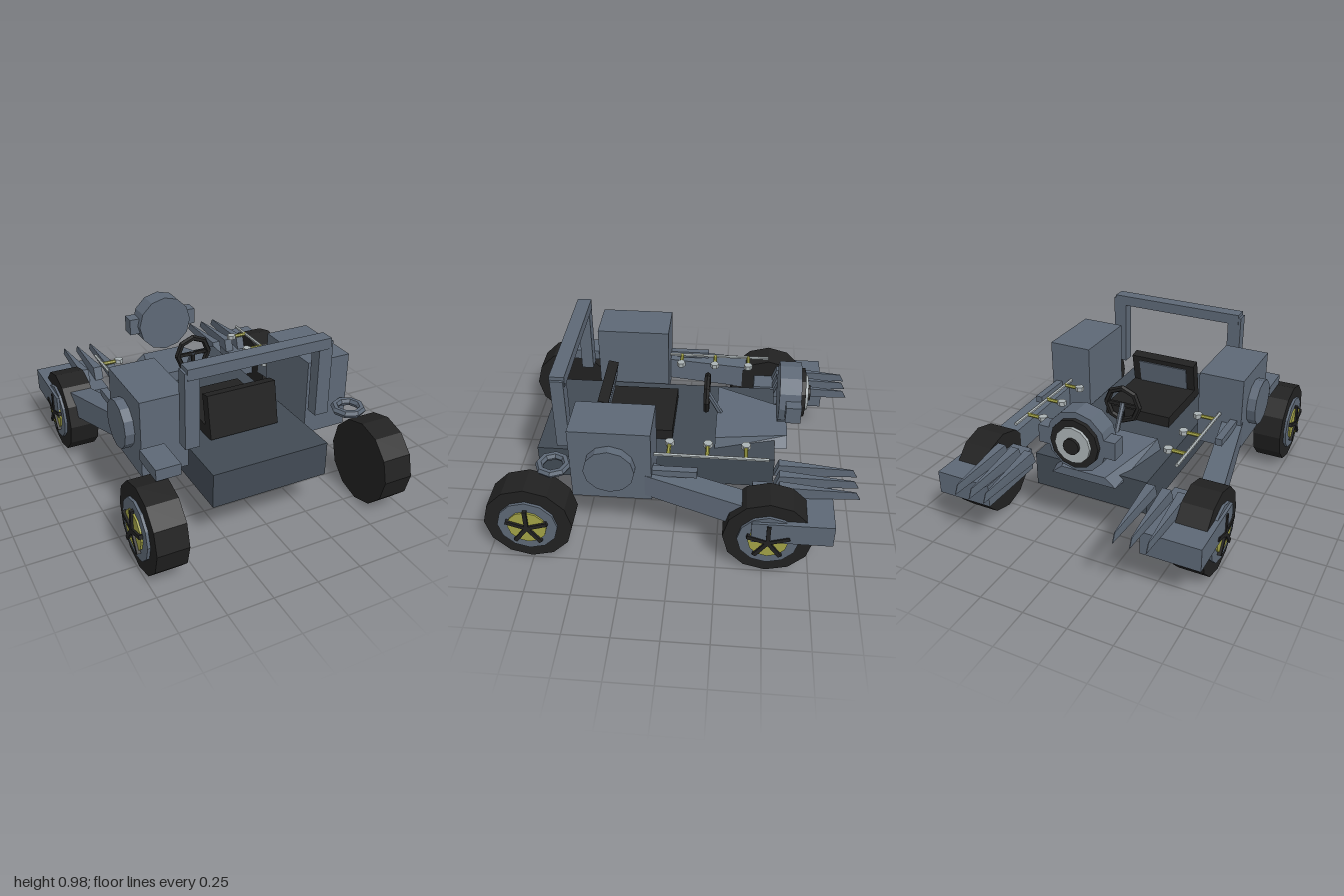
import * as THREE from 'three';

const mat = (name, color) => {
  const m = new THREE.MeshStandardMaterial({ color, flatShading: true });
  m.name = name;
  return m;
};

export function createModel() {
  const steel = mat('blue grey steel', 0x5d6876);
  const dark = mat('dark hull grey', 0x414a54);
  const black = mat('black rubber', 0x212121);
  const yellow = mat('dull yellow', 0xa2a246);
  const silver = mat('light metal', 0xaab2b4);
  const root = new THREE.Group();
  root.name = 'armedBuggy';

  const add = (name, geo, material, parent = root) => {
    const m = new THREE.Mesh(geo, material);
    m.name = name;
    parent.add(m);
    return m;
  };
  // Box given by its limits on each axis
  const box = (name, material, x0, x1, y0, y1, z0, z1, parent = root) => {
    const m = add(name, new THREE.BoxGeometry(Math.abs(x1 - x0), y1 - y0, z1 - z0), material, parent);
    m.position.set((x0 + x1) / 2, (y0 + y1) / 2, (z0 + z1) / 2);
    return m;
  };
  // Cylinder lying along x or z, or standing on y
  const disc = (name, material, axis, r, len, x, y, z, sides = 12, parent = root) => {
    const g = new THREE.CylinderGeometry(r, r, len, sides);
    if (axis === 'x') g.rotateZ(Math.PI / 2);
    if (axis === 'z') g.rotateX(Math.PI / 2);
    const m = add(name, g, material, parent);
    m.position.set(x, y, z);
    return m;
  };
  // Box whose eight corners are moved by a rule taking the signs of x, y, z
  const shaped = (name, material, rule) => {
    const g = new THREE.BoxGeometry(2, 2, 2);
    const p = g.attributes.position;
    for (let i = 0; i < p.count; i++) p.setXYZ(i, ...rule(p.getX(i), p.getY(i), p.getZ(i)));
    g.computeVertexNormals();
    return add(name, g, material);
  };

  // Hull and tapered hood
  box('hull', dark, -0.337, 0.337, 0.24, 0.437, -0.548, 0.778);
  shaped('hood', steel, (x, y, z) => z > 0
    ? [x * (y > 0 ? 0.245 : 0.265), y > 0 ? 0.5 : 0.43, -0.213]
    : [x * (y > 0 ? 0.13 : 0.19), y > 0 ? 0.45 : 0.40, -0.62]);

  // Seat with backrest and inset pad
  box('seatCushion', black, -0.204, 0.204, 0.43, 0.5, 0.03, 0.43);
  const back = new THREE.Group();
  back.name = 'seatBack';
  back.position.set(0, 0.56, 0.438);
  back.rotation.x = -0.2;
  root.add(back);
  box('backrest', black, -0.204, 0.204, -0.125, 0.12, -0.03, 0.03, back);
  box('backPad', steel, -0.155, 0.155, -0.06, 0.09, -0.037, -0.029, back);

  // Steering wheel and column
  const rim = add('steeringRing', new THREE.TorusGeometry(0.1, 0.018, 6, 8), black);
  rim.position.set(0, 0.63, -0.153);
  box('steeringCrossbar', black, -0.095, 0.095, 0.62, 0.64, -0.16, -0.146);
  box('steeringSpoke', black, -0.01, 0.01, 0.54, 0.63, -0.16, -0.146);
  const column = disc('steeringColumn', steel, 'y', 0.015, 0.2, 0, 0.55, -0.2, 6);
  column.rotation.x = 0.5;

  // Round lamp at the back
  disc('lampHousing', steel, 'z', 0.172, 0.12, 0, 0.662, -0.616);
  box('lampEars', steel, -0.222, 0.222, 0.61, 0.71, -0.676, -0.592);
  disc('lampOuterRing', black, 'z', 0.138, 0.03, 0, 0.662, -0.685);
  disc('lampLens', silver, 'z', 0.1, 0.03, 0, 0.662, -0.702);
  disc('lampHub', black, 'z', 0.045, 0.03, 0, 0.662, -0.718);

  // Roll bar
  for (const s of [-1, 1]) box('rollBarPost', steel, s * 0.342, s * 0.422, 0.53, 0.955, 0.57, 0.64);
  box('rollBarTop', steel, -0.408, 0.408, 0.915, 0.975, 0.565, 0.645);

  for (const s of [-1, 1]) {
    // Side pod with round cap, rear block and short bar
    box('sidePod', steel, s * 0.355, s * 0.615, 0.355, 0.79, 0.102, 0.53);
    disc('podCap', steel, 'x', 0.134, 0.07, s * 0.631, 0.575, 0.318, 12);
    box('rearBlock', steel, s * 0.445, s * 0.77, 0.24, 0.372, -0.858, -0.43);
    box('sideBar', steel, s * 0.55, s * 0.59, 0.5, 0.54, -0.135, 0.11);

    // Sloping arm from pod to rear block
    shaped('suspensionArm', steel, (x, y, z) => z > 0
      ? [s * 0.55 + x * 0.06, y > 0 ? 0.525 : 0.39, 0.17]
      : [s * 0.64 + x * 0.063, y > 0 ? 0.42 : 0.27, -0.4]);

    // Rail with cross pins and knobs
    disc('rail', silver, 'z', 0.01, 0.62, s * 0.485, 0.562, -0.2, 6);
    for (const z of [-0.385, -0.18, 0.027]) {
      disc('railPin', yellow, 'x', 0.011, 0.1, s * 0.434, 0.562, z, 6);
      disc('railKnob', silver, 'y', 0.026, 0.026, s * 0.383, 0.562, z, 6);
    }

    // Rear spikes, pointed in plan
    for (const cx of [0.37, 0.46, 0.547]) {
      shaped('rearSpike', steel, (x, y, z) => z > 0
        ? [s * cx + x * 0.026, y > 0 ? 0.45 : 0.375, y > 0 ? -0.57 : -0.545]
        : [s * cx + x * 0.002, y > 0 ? 0.422 : 0.375, y > 0 ? -0.975 : -1]);
    }

    // Wheels with rim, yellow hub and five spokes
    for (const z of [0.76, -0.52]) {
      const wheel = new THREE.Group();
      wheel.name = z > 0 ? 'frontWheel' : 'rearWheel';
      wheel.position.set(s * 0.655, 0.24, z);
      root.add(wheel);
      disc('tyre', black, 'x', 0.24, 0.17, 0, 0, 0, 12, wheel);
      disc('rim', steel, 'x', 0.163, 0.04, s * 0.08, 0, 0, 12, wheel);
      disc('hub', yellow, 'x', 0.106, 0.04, s * 0.09, 0, 0, 12, wheel);
      for (let i = 0; i < 5; i++) {
        const g = new THREE.BoxGeometry(0.02, 0.118, 0.022);
        g.translate(s * 0.112, 0.059, 0);
        add('spoke', g, black, wheel).rotation.x = i * Math.PI * 2 / 5;
      }
    }
  }

  // Front bracket on the right, ring on the left
  box('frontBracket', steel, -0.637, -0.503, 0.487, 0.55, 0.562, 0.765);
  const ring = add('frontRing', new THREE.TorusGeometry(0.075, 0.022, 6, 8), steel);
  ring.rotation.x = Math.PI / 2;
  ring.position.set(0.564, 0.518, 0.632);

  return root;
}
